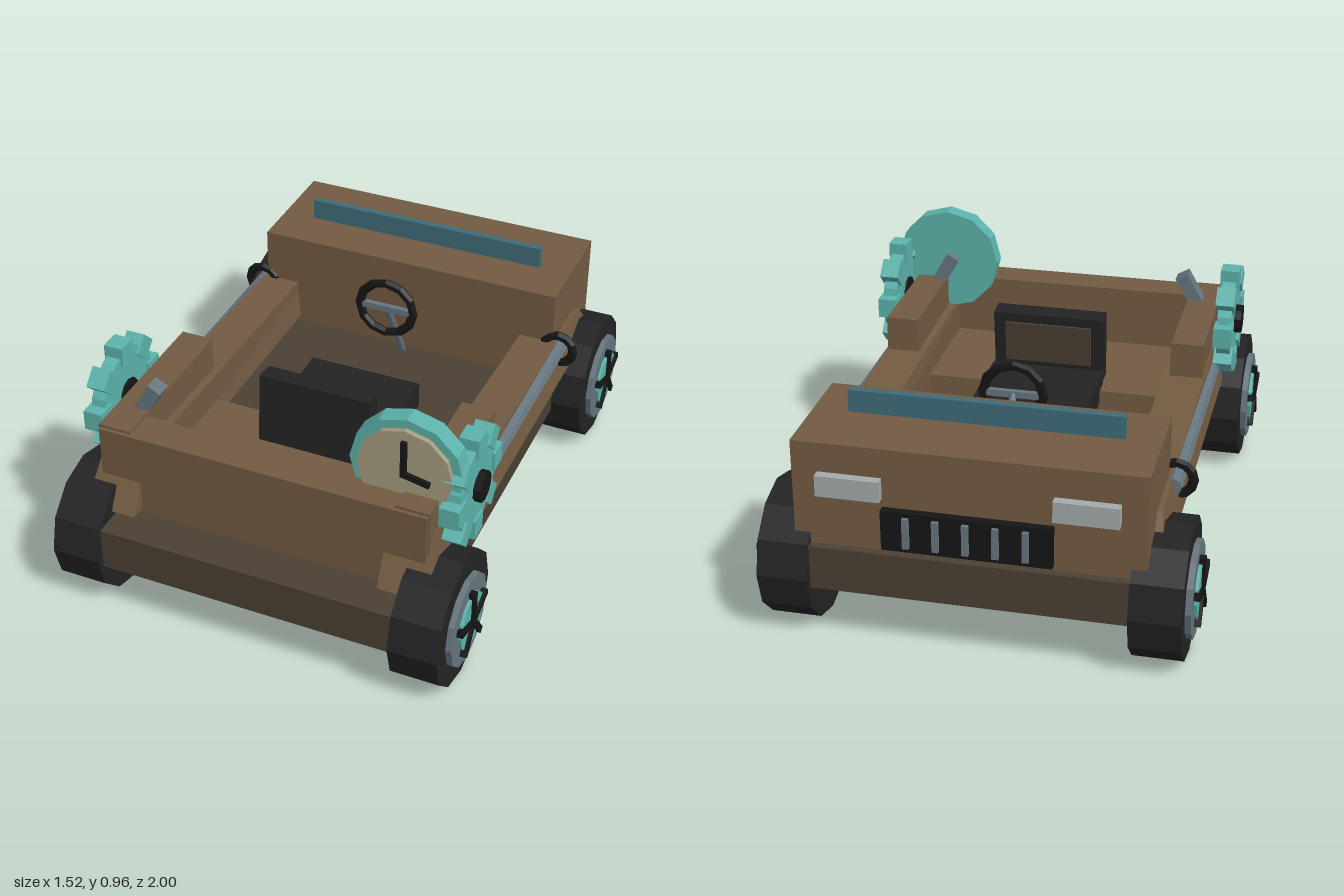
import * as THREE from 'three';

const mat = (name, color) => {
  const m = new THREE.MeshStandardMaterial({ color });
  m.name = name;
  return m;
};

export function createModel() {
  const brown = mat('body brown', 0x735b42);
  const darkBrown = mat('chassis brown', 0x4b4033);
  const teal = mat('teal', 0x5cb3ac);
  const slate = mat('slate metal', 0x66757f);
  const blue = mat('windshield blue', 0x3f6b79);
  const rubber = mat('rubber black', 0x232323);
  const black = mat('trim black', 0x151515);
  const cream = mat('clock cream', 0xa69e80);
  const lamp = mat('lamp grey', 0xa3abac);

  const root = new THREE.Group();
  root.name = 'car';

  // Adds a faceted mesh
  const add = (parent, name, geo, material, x = 0, y = 0, z = 0) => {
    const g = geo.index ? geo.toNonIndexed() : geo;
    g.computeVertexNormals();
    const m = new THREE.Mesh(g, material);
    m.name = name;
    m.position.set(x, y, z);
    parent.add(m);
    return m;
  };
  // Box given by its min and max on each axis
  const box = (parent, name, material, x0, x1, y0, y1, z0, z1) =>
    add(parent, name, new THREE.BoxGeometry(x1 - x0, y1 - y0, z1 - z0), material,
      (x0 + x1) / 2, (y0 + y1) / 2, (z0 + z1) / 2);
  // Disc along x (outwards by side s) from x0 to x1
  const discX = (parent, name, material, r, x0, x1, s, sides = 12) =>
    add(parent, name, new THREE.CylinderGeometry(r, r, x1 - x0, sides).rotateZ(Math.PI / 2).rotateX(Math.PI / 2),
      material, s * (x0 + x1) / 2);
  const group = (name, x, y, z) => {
    const g = new THREE.Group();
    g.name = name;
    g.position.set(x, y, z);
    root.add(g);
    return g;
  };

  // Chassis and body
  box(root, 'chassis', darkBrown, -0.6, 0.6, 0.2, 0.36, -0.965, 0.965);
  box(root, 'hood', brown, -0.593, 0.593, 0.36, 0.735, -0.935, -0.493);
  box(root, 'tailPanel', brown, -0.6, 0.6, 0.36, 0.68, 0.69, 0.818);
  box(root, 'rearDeck', brown, -0.46, 0.46, 0.36, 0.45, 0.23, 0.69);
  box(root, 'windshield', blue, -0.47, 0.47, 0.73, 0.815, -0.693, -0.667);

  // Grille and headlights
  box(root, 'grille', black, -0.287, 0.287, 0.38, 0.525, -0.965, -0.93);
  for (let i = -2; i <= 2; i++)
    box(root, 'grilleBar', slate, i * 0.1 - 0.011, i * 0.1 + 0.011, 0.4, 0.51, -0.98, -0.96);

  for (const s of [-1, 1]) {
    const sided = (name, material, a, b, ...rest) =>
      box(root, name, material, Math.min(s * a, s * b), Math.max(s * a, s * b), ...rest);

    // Side panel: tapered block with a sloping top
    const panel = new THREE.BoxGeometry(1, 1, 1);
    const p = panel.attributes.position;
    for (let i = 0; i < p.count; i++) {
      const top = p.getY(i) > 0, rear = p.getZ(i) > 0, outer = p.getX(i) * s > 0;
      p.setXYZ(i,
        s * (outer ? (top ? 0.61 : 0.64) : (top && !rear ? 0.467 : 0.453)),
        top ? (rear ? 0.58 : 0.525) : 0.383,
        (rear ? 1 : -1) * (top ? 0.767 : 0.88));
    }
    add(root, 'sidePanel', panel, brown);

    sided('rearSideBox', brown, 0.485, 0.605, 0.3, 0.69, 0.195, 0.805);
    sided('headlight', lamp, 0.287, 0.505, 0.555, 0.63, -0.968, -0.93);

    // Drive rod with collar ring
    add(root, 'driveRod', new THREE.CylinderGeometry(0.032, 0.032, 1.16, 8).rotateX(Math.PI / 2),
      slate, s * 0.612, 0.505, 0.02);
    add(root, 'rodCollar', new THREE.TorusGeometry(0.06, 0.018, 6, 12), black, s * 0.615, 0.507, -0.498);

    // Slanted bracket
    add(root, 'bracket', new THREE.BoxGeometry(0.052, 0.15, 0.06), slate, s * 0.495, 0.72, 0.645)
      .rotation.z = s * 0.52;

    // Side gear
    const gear = group('gear', 0, 0.655, 0.56);
    discX(gear, 'gearDisc', teal, 0.17, 0.628, 0.68, s, 16);
    for (let i = 0; i < 8; i++) {
      const tooth = add(gear, 'gearTooth',
        new THREE.BoxGeometry(0.07, 0.075, 0.075).translate(0, 0.168, 0), teal, s * 0.654);
      tooth.rotation.x = i * Math.PI / 4;
    }
    discX(gear, 'gearHub', black, 0.055, 0.62, 0.706, s, 10);

    // Wheels
    for (const z of [-0.757, 0.757]) {
      const wheel = group('wheel', 0, 0.243, z);
      discX(wheel, 'tyre', rubber, 0.243, 0.54, 0.716, s);
      discX(wheel, 'rim', slate, 0.168, 0.6, 0.737, s);
      discX(wheel, 'hubDisc', teal, 0.105, 0.7, 0.748, s);
      for (let i = 0; i < 5; i++) {
        const spoke = add(wheel, 'spoke',
          new THREE.BoxGeometry(0.03, 0.125, 0.024).translate(0, 0.0625, 0), black, s * 0.744);
        spoke.rotation.x = i * Math.PI * 0.4;
      }
    }
  }

  // Seat with forward-leaning backrest
  box(root, 'seatCushion', rubber, -0.215, 0.215, 0.4, 0.5, -0.09, 0.3);
  const back = group('seatBack', 0, 0.45, 0.355);
  back.rotation.x = -0.09;
  box(back, 'backrest', rubber, -0.21, 0.21, 0, 0.265, -0.04, 0.035);
  box(back, 'backrestPad', darkBrown, -0.165, 0.165, 0.07, 0.23, -0.049, -0.04);

  // Steering wheel and column
  add(root, 'steeringWheel', new THREE.TorusGeometry(0.108, 0.018, 6, 12), black, 0, 0.66, -0.287);
  box(root, 'steeringSpoke', slate, -0.1, 0.1, 0.648, 0.672, -0.297, -0.277);
  const column = add(root, 'steeringColumn', new THREE.CylinderGeometry(0.013, 0.013, 0.345, 8),
    slate, 0, 0.512, -0.375);
  column.rotation.x = 0.52;

  // Clock
  const clock = group('clock', 0.483, 0.765, 0);
  const discZ = (name, material, r, z0, z1) =>
    add(clock, name, new THREE.CylinderGeometry(r, r, z1 - z0, 12).rotateX(Math.PI / 2), material, 0, 0, (z0 + z1) / 2);
  discZ('clockCase', teal, 0.2, 0.643, 0.71);
  discZ('clockFace', cream, 0.168, 0.7, 0.728);
  box(clock, 'minuteHand', black, -0.01, 0.01, -0.01, 0.13, 0.728, 0.742);
  const hour = box(clock, 'hourHand', black, -0.005, 0.093, -0.01, 0.01, 0.728, 0.742);
  hour.rotation.z = -0.2;
  hour.position.y = -0.009;

  return root;
}
